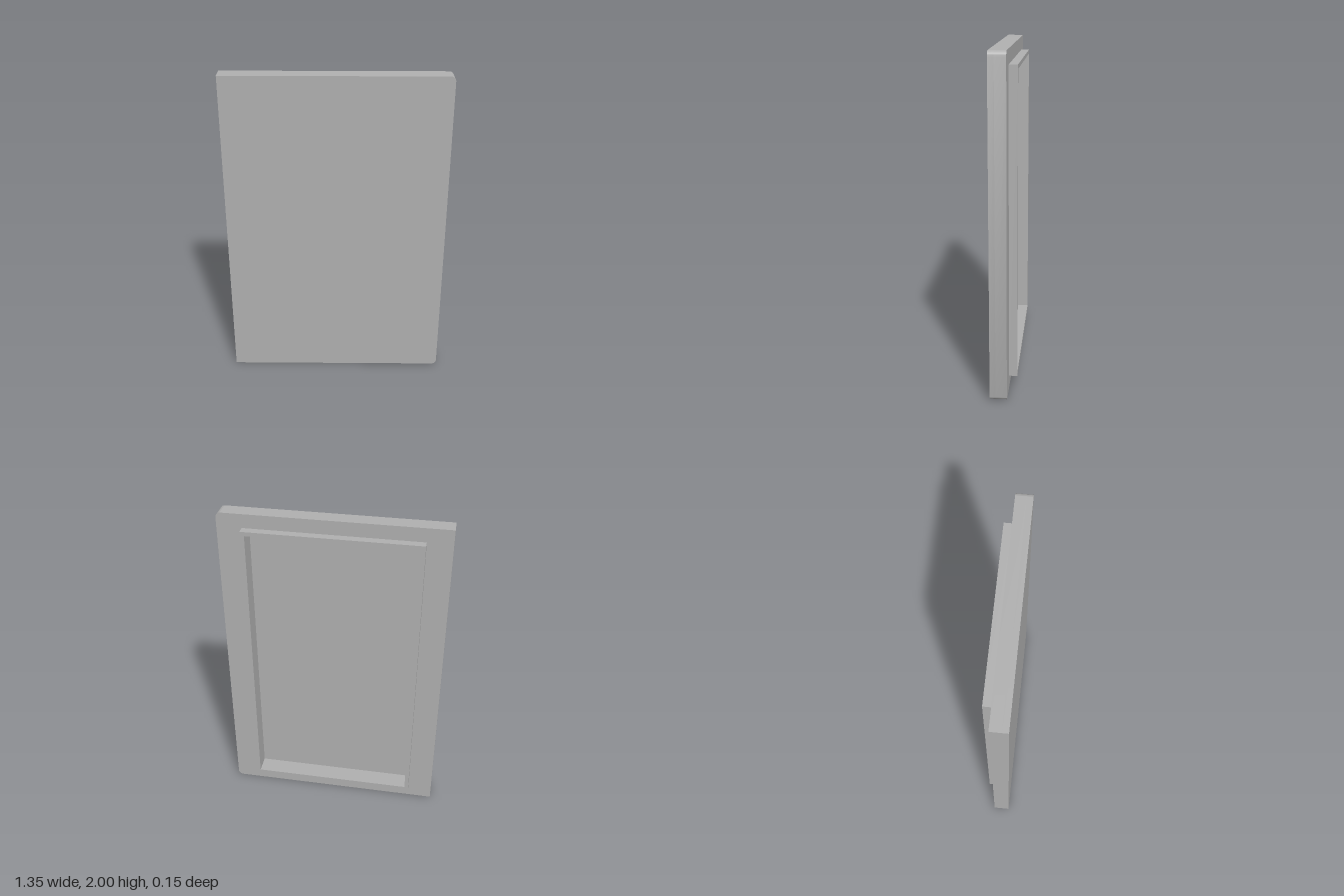
import * as THREE from 'three';
import { toCreasedNormals } from 'three/addons/utils/BufferGeometryUtils.js';

const grey = new THREE.MeshStandardMaterial({ color: 0xb0b0b0 });
grey.name = 'grey';

const W = 0.675, H = 2, R = 0.03;              // half width, height, corner radius
const FRONT = 0.075, BACK = -0.025, RIM = -0.075, FLOOR = 0.04;
const OX = 0.525, OY0 = 0.085, OY1 = 1.915;    // outer edge of the rim
const T = 0.025;                               // rim wall thickness

// Rectangle path, used for the rim and for the recess opening
function rectangle(Type, x, y0, y1) {
  return new Type([[-x, y0], [x, y0], [x, y1], [-x, y1]].map(p => new THREE.Vector2(...p)));
}

// Panel outline: square on one side, rounded corners on the +x side
function panelShape() {
  const s = new THREE.Shape();
  s.moveTo(-W, 0);
  s.lineTo(W - R, 0);
  s.absarc(W - R, R, R, -Math.PI / 2, 0, false);
  s.lineTo(W, H - R);
  s.absarc(W - R, H - R, R, 0, Math.PI / 2, false);
  s.lineTo(-W, H);
  s.closePath();
  return s;
}

// Extrudes a shape between two depths
function slab(name, shape, z0, z1) {
  const geo = new THREE.ExtrudeGeometry(shape, { depth: z1 - z0, bevelEnabled: false, curveSegments: 8 });
  geo.translate(0, 0, z0);
  const mesh = new THREE.Mesh(toCreasedNormals(geo, 0.6), grey);
  mesh.name = name;
  return mesh;
}

export function createModel() {
  const group = new THREE.Group();
  group.name = 'doorPanel';
  const opening = () => rectangle(THREE.Path, OX - T, OY0 + T, OY1 - T);

  // Solid front skin, which is also the floor of the recess
  group.add(slab('frontSkin', panelShape(), FLOOR, FRONT));

  // Back part of the panel, cut through by the recess
  const frame = panelShape();
  frame.holes.push(opening());
  group.add(slab('backFrame', frame, BACK, FLOOR));

  // Raised rim around the recess
  const rim = rectangle(THREE.Shape, OX, OY0, OY1);
  rim.holes.push(opening());
  group.add(slab('rim', rim, RIM, BACK));

  return group;
}
